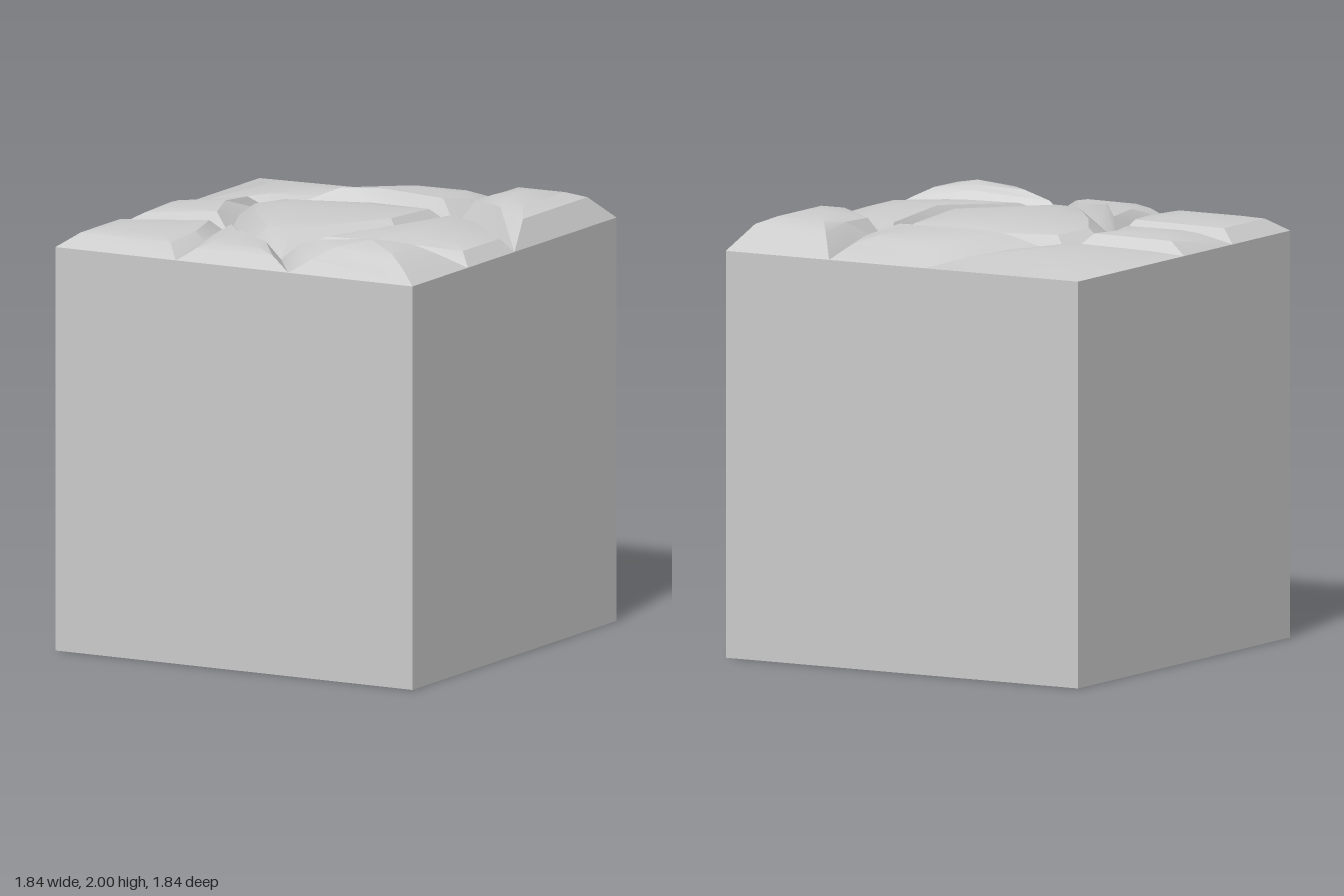
import * as THREE from 'three';
import { toCreasedNormals } from 'three/addons/utils/BufferGeometryUtils.js';

const HALF = 0.92, BASE = 1.84;
const material = new THREE.MeshStandardMaterial({ color: 0xcccccc });

// Shared joints of the crazy paving: [x, z, height above the block]
const J = {
  cornerBL: [-HALF, -HALF, 0], cornerBR: [HALF, -HALF, 0],
  cornerFL: [-HALF, HALF, 0], cornerFR: [HALF, HALF, 0],
  back1: [-0.12, -HALF, 0], back2: [0.38, -HALF, 0],
  right1: [HALF, 0, 0], right2: [HALF, 0.42, 0],
  front1: [-0.3, HALF, 0], front2: [0.28, HALF, 0],
  left1: [-HALF, 0, 0], left2: [-HALF, 0.42, 0],
  nodeNW: [-0.47, -0.27, 0], nodeNE: [0.41, -0.36, 0],
  nodeS: [0.1, 0.67, 0], nodeW: [-0.39, 0.28, 0],
  // raised bends in the middle of the joints
  bendBack: [0, -0.4, 0.03], bendBackL: [-0.25, -0.61, 0.03], bendBackR: [0.43, -0.65, 0.03],
  bendRight: [0.41, 0.14, 0.03], bendTallR: [0.67, -0.2, 0.015], bendFrontR: [0.5, 0.55, 0.01],
  bendFront: [-0.15, 0.53, 0.02], bendFrontL: [-0.3, 0.63, 0.02], bendLeft: [-0.5, 0, 0.03],
};

// Each stone: outline joints, bevel crest points [x, z, height], crown point
const STONES = {
  backLeftStone: [
    ['cornerBL', 'back1', 'bendBackL', 'nodeNW', 'left1'],
    [[-0.75, -0.75, 0.03], [-0.25, -0.78, 0.04], [-0.36, -0.58, 0.06], [-0.53, -0.32, 0.07], [-0.82, -0.12, 0.03]],
    [-0.55, -0.5, 0.07]],
  backMiddleStone: [
    ['back1', 'back2', 'bendBackR', 'nodeNE', 'bendBack', 'nodeNW', 'bendBackL'],
    [[-0.06, -0.78, 0.06], [0.33, -0.8, 0.06], [0.35, -0.65, 0.08], [0.3, -0.44, 0.11],
      [-0.02, -0.46, 0.12], [-0.22, -0.43, 0.11], [-0.12, -0.62, 0.09]],
    [0.1, -0.62, 0.11]],
  backRightStone: [
    ['back2', 'cornerBR', 'right1', 'bendTallR', 'nodeNE', 'bendBackR'],
    [[0.47, -0.8, 0.1], [0.85, -0.78, 0.11], [0.85, -0.2, 0.11], [0.68, -0.29, 0.135],
      [0.48, -0.42, 0.12], [0.5, -0.58, 0.12]],
    [0.65, -0.55, 0.16]],
  rightStone: [
    ['nodeNE', 'bendTallR', 'right1', 'right2', 'bendFrontR', 'nodeS', 'bendRight'],
    [[0.45, -0.24, 0.08], [0.65, -0.12, 0.09], [0.86, 0.03, 0.06], [0.86, 0.36, 0.06],
      [0.52, 0.46, 0.09], [0.24, 0.5, 0.09], [0.45, 0.14, 0.11]],
    [0.6, 0.15, 0.11]],
  frontRightStone: [
    ['nodeS', 'bendFrontR', 'right2', 'cornerFR', 'front2'],
    [[0.2, 0.69, 0.08], [0.55, 0.6, 0.11], [0.82, 0.52, 0.07], [0.83, 0.85, 0.06], [0.37, 0.86, 0.06]],
    [0.58, 0.7, 0.145]],
  frontMiddleStone: [
    ['nodeW', 'bendFront', 'nodeS', 'front2', 'front1', 'bendFrontL'],
    [[-0.3, 0.42, 0.08], [-0.15, 0.6, 0.1], [0.04, 0.7, 0.08], [0.17, 0.87, 0.06],
      [-0.22, 0.87, 0.055], [-0.25, 0.66, 0.08]],
    [-0.08, 0.75, 0.09]],
  frontLeftStone: [
    ['left2', 'nodeW', 'bendFrontL', 'front1', 'cornerFL'],
    [[-0.84, 0.48, 0.06], [-0.43, 0.39, 0.08], [-0.38, 0.6, 0.07], [-0.38, 0.83, 0.06], [-0.84, 0.83, 0.06]],
    [-0.6, 0.63, 0.085]],
  leftStone: [
    ['left1', 'nodeNW', 'bendLeft', 'nodeW', 'left2'],
    [[-0.84, 0.02, 0.06], [-0.53, -0.13, 0.09], [-0.57, 0, 0.09], [-0.5, 0.2, 0.08], [-0.82, 0.29, 0.06]],
    [-0.68, 0.1, 0.09]],
  centreStone: [
    ['nodeNW', 'bendBack', 'nodeNE', 'bendRight', 'nodeS', 'bendFront', 'nodeW', 'bendLeft'],
    [[-0.38, -0.2, 0.08], [0, -0.32, 0.08], [0.32, -0.28, 0.09], [0.33, 0.08, 0.11],
      [0.04, 0.48, 0.1], [-0.08, 0.47, 0.1], [-0.3, 0.2, 0.1], [-0.42, 0, 0.09]],
    [0, 0.05, 0.12]],
};

// Rings from outline to crest to shoulder, closed by a fan at the crown
function stoneGeometry(outline, crest, crown) {
  const shoulder = crest.map(([x, z, h]) => [
    THREE.MathUtils.lerp(x, crown[0], 0.35),
    THREE.MathUtils.lerp(z, crown[1], 0.35),
    THREE.MathUtils.lerp(h, crown[2], 0.6),
  ]);
  const rings = [outline.map((key) => J[key]), crest, shoulder];
  const n = crest.length, position = [], index = [];
  for (const [x, z, h] of [...rings.flat(), crown]) position.push(x, BASE + h, z);
  for (let i = 0; i < n; i++) {
    const j = (i + 1) % n;
    for (let r = 0; r < 2; r++) {
      const a = r * n + i, b = r * n + j;
      index.push(a, b + n, b, a, a + n, b + n);
    }
    index.push(2 * n + i, 3 * n, 2 * n + j);
  }
  const geometry = new THREE.BufferGeometry();
  geometry.setAttribute('position', new THREE.Float32BufferAttribute(position, 3));
  geometry.setIndex(index);
  return toCreasedNormals(geometry, 0.45);
}

export function createModel() {
  const model = new THREE.Group();
  model.name = 'pavedBlock';

  // Solid block
  const block = new THREE.Mesh(new THREE.BoxGeometry(2 * HALF, BASE, 2 * HALF), material);
  block.name = 'block';
  block.position.y = BASE / 2;
  model.add(block);

  // Paving stones on top
  const paving = new THREE.Group();
  paving.name = 'pavingStones';
  for (const [name, parts] of Object.entries(STONES)) {
    const stone = new THREE.Mesh(stoneGeometry(...parts), material);
    stone.name = name;
    paving.add(stone);
  }
  model.add(paving);
  return model;
}
